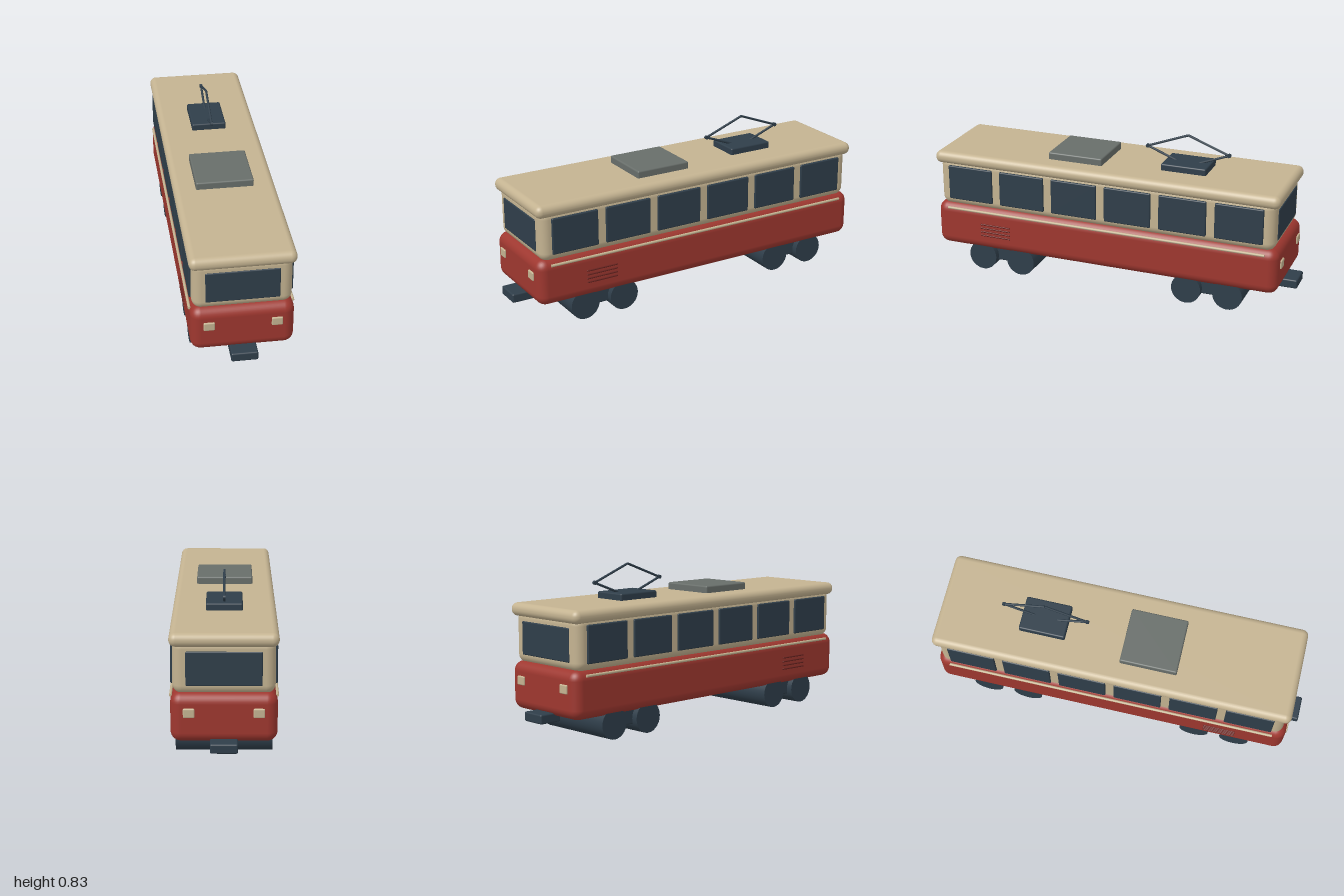
import * as THREE from 'three';
import { RoundedBoxGeometry } from 'three/addons/geometries/RoundedBoxGeometry.js';

const material = (name, color) => Object.assign(new THREE.MeshStandardMaterial({ color }), { name });

export function createModel() {
  const tram = new THREE.Group();
  tram.name = 'tram';
  const red = material('body red', 0x9e372f);
  const darkRed = material('vent dark red', 0x6b2420);
  const cream = material('cream', 0xc4b391);
  const dark = material('dark slate', 0x2f3e4a);
  const grey = material('equipment grey', 0x686e6a);

  const add = (name, geometry, mat, x, y, z) => {
    const mesh = new THREE.Mesh(geometry, mat);
    mesh.name = name;
    mesh.position.set(x, y, z);
    tram.add(mesh);
    return mesh;
  };
  // Rounded box given by its size, corner radius and centre
  const box = (name, mat, [w, h, d], r, [x, y, z]) =>
    add(name, new RoundedBoxGeometry(w, h, d, 4, r), mat, x, y, z);
  // Round bar between two points
  const bar = (name, mat, a, b, r, sides = 12) => {
    const dir = b.clone().sub(a);
    const mid = a.clone().add(b).multiplyScalar(0.5);
    const mesh = add(name, new THREE.CylinderGeometry(r, r, dir.length(), sides), mat, mid.x, mid.y, mid.z);
    mesh.quaternion.setFromUnitVectors(new THREE.Vector3(0, 1, 0), dir.normalize());
    return mesh;
  };
  const v = (x, y, z) => new THREE.Vector3(x, y, z);

  // Body shell
  box('lowerBody', red, [0.5, 0.24, 1.876], 0.05, [0, 0.242, 0]);
  box('upperBody', cream, [0.48, 0.265, 1.83], 0.045, [0, 0.4825, 0]);
  box('roof', cream, [0.51, 0.066, 1.874], 0.032, [0, 0.615, 0]);

  for (const side of [1, -1]) {
    // Side windows
    for (let i = 0; i < 6; i++) {
      box('sideWindow', dark, [0.02, 0.186, 0.25], 0.006, [side * 0.24, 0.483, (i - 2.5) * 0.2935]);
    }
    // Waist rail and vent slats
    bar('waistRail', cream, v(side * 0.249, 0.336, -0.87), v(side * 0.249, 0.336, 0.87), 0.007);
    for (let i = 0; i < 4; i++) {
      box('ventSlat', darkRed, [0.014, 0.008, 0.17], 0.003, [side * 0.249, 0.205 + i * 0.0205, 0.595]);
    }
  }

  for (const end of [1, -1]) {
    // End window, lamps and coupler
    box('endWindow', dark, [0.356, 0.165, 0.02], 0.006, [0, 0.478, end * 0.91]);
    for (const side of [1, -1]) {
      box('headlight', cream, [0.054, 0.045, 0.02], 0.006, [side * 0.163, 0.271, end * 0.936]);
    }
    box('coupler', dark, [0.13, 0.047, 0.12], 0.008, [0, 0.117, end * 0.94]);

    // Bogie with two full-width wheel rollers
    const bogieZ = end * 0.573;
    box('bogieFrame', dark, [0.4, 0.085, 0.22], 0.008, [0, 0.0925, bogieZ]);
    for (const offset of [-0.11, 0.11]) {
      const z = bogieZ + offset;
      bar('wheelPair', dark, v(-0.232, 0.078, z), v(0.232, 0.078, z), 0.078, 28);
    }
  }

  // Roof equipment
  box('roofUnit', grey, [0.29, 0.06, 0.296], 0.008, [0, 0.655, 0.178]);
  box('pantographBase', dark, [0.18, 0.045, 0.24], 0.008, [0, 0.66, -0.39]);

  // Diamond pantograph
  const corners = [v(0, 0.82, -0.387), v(0, 0.738, -0.17), v(0, 0.655, -0.387), v(0, 0.738, -0.604)];
  corners.forEach((corner, i) => {
    bar('pantographArm', dark, corner, corners[(i + 1) % 4], 0.006, 10);
    if (i % 2) bar('pantographJoint', dark, corner.clone().setX(-0.007), corner.clone().setX(0.007), 0.01);
  });

  return tram;
}
